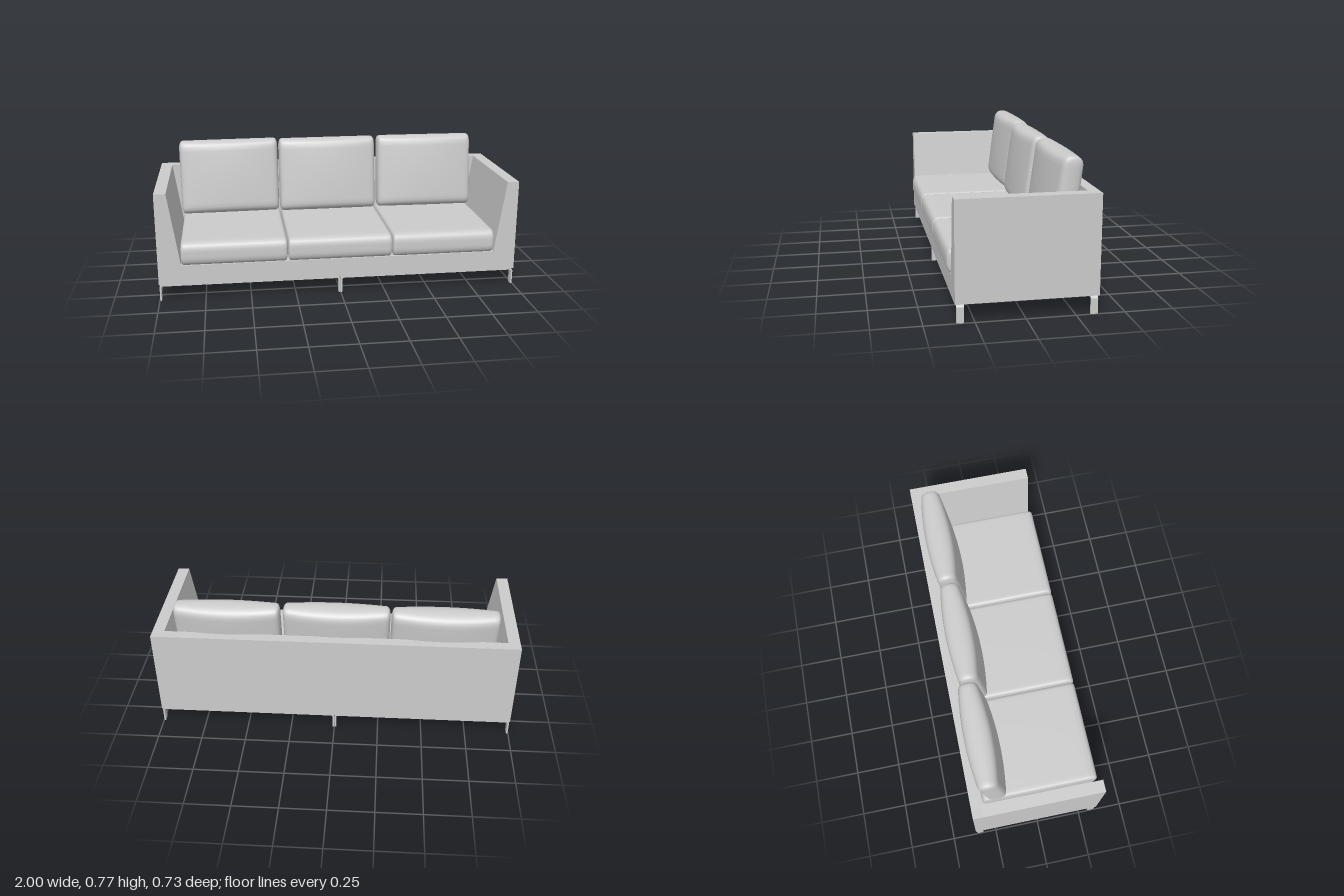
import * as THREE from 'three';
import { mergeVertices } from 'three/addons/utils/BufferGeometryUtils.js';

const material = new THREE.MeshStandardMaterial({ color: 0xcccccc, roughness: 0.8 });

function add(parent, name, geometry, x = 0, y = 0, z = 0) {
  const mesh = new THREE.Mesh(geometry, material);
  mesh.name = name;
  mesh.position.set(x, y, z);
  parent.add(mesh);
  return mesh;
}

// Soft box: size w,h,d, elliptical edge radii, and a pillow bulge on the z faces
function cushionGeometry(size, radii, bulge = 0) {
  let geo = new THREE.BoxGeometry(2, 2, 2, 24, 20, 16);
  geo.deleteAttribute('uv');
  geo.deleteAttribute('normal');
  geo = mergeVertices(geo, 1e-4);
  const pos = geo.attributes.position;
  for (let i = 0; i < pos.count; i++) {
    // pack the grid lines towards the edges
    const t = [pos.getX(i), pos.getY(i), pos.getZ(i)].map((u) => Math.sin((u * Math.PI) / 2));
    const core = [], off = [];
    for (let k = 0; k < 3; k++) {
      const half = size[k] / 2;
      const p = t[k] * half;
      core[k] = THREE.MathUtils.clamp(p, radii[k] - half, half - radii[k]);
      off[k] = (p - core[k]) / radii[k];
    }
    const len = Math.hypot(...off) || 1;
    const p = core.map((c, k) => c + (radii[k] * off[k]) / len);
    const nz = p[2] / (size[2] / 2);
    p[2] += nz * bulge * (1 - t[0] ** 2) * (1 - 0.25 * t[1] ** 2);
    pos.setXYZ(i, ...p);
  }
  geo.computeVertexNormals();
  return geo;
}

// Inverted U of flat bar with rounded bends, spanning x0..x1
function barFrameGeometry(x0, x1, top, thick, width) {
  const r = 0.018;
  const q = r - thick;
  const s = new THREE.Shape();
  s.moveTo(x0, 0);
  s.lineTo(x0, top - r);
  s.absarc(x0 + r, top - r, r, Math.PI, Math.PI / 2, true);
  s.lineTo(x1 - r, top);
  s.absarc(x1 - r, top - r, r, Math.PI / 2, 0, true);
  s.lineTo(x1, 0);
  s.lineTo(x1 - thick, 0);
  s.lineTo(x1 - thick, top - r);
  s.absarc(x1 - r, top - r, q, 0, Math.PI / 2, false);
  s.lineTo(x0 + r, top - thick);
  s.absarc(x0 + r, top - r, q, Math.PI / 2, Math.PI, false);
  s.lineTo(x0 + thick, 0);
  s.closePath();
  return new THREE.ExtrudeGeometry(s, { depth: width, bevelEnabled: false, curveSegments: 6 });
}

export function createModel() {
  const sofa = new THREE.Group();
  sofa.name = 'sofa';

  // Base and arms: one U section with sloping inner arm faces
  const section = new THREE.Shape([
    [-1, 0.095], [1, 0.095], [1, 0.608], [0.935, 0.608],
    [0.875, 0.203], [-0.875, 0.203], [-0.935, 0.608], [-1, 0.608],
  ].map(([x, y]) => new THREE.Vector2(x, y)));
  const body = new THREE.ExtrudeGeometry(section, { depth: 0.657, bevelEnabled: false });
  add(sofa, 'baseAndArms', body, 0, 0, -0.31);
  add(sofa, 'backPanel', new THREE.BoxGeometry(2, 0.513, 0.057), 0, 0.3515, -0.3385);

  // Bent bar legs: two frames along the front, two along the back
  for (const [side, z] of [['front', 0.303], ['back', -0.36]]) {
    add(sofa, side + 'LeftLegFrame', barFrameGeometry(0.002, 0.998, 0.093, 0.009, 0.037), 0, 0, z);
    add(sofa, side + 'RightLegFrame', barFrameGeometry(-0.998, -0.002, 0.093, 0.009, 0.037), 0, 0, z);
  }

  // Seat cushions
  const seat = cushionGeometry([0.582, 0.131, 0.665], [0.014, 0.05, 0.035]);
  [-0.585, -0.002, 0.581].forEach((x, i) => add(sofa, 'seatCushion' + (i + 1), seat, x, 0.268, 0.034));

  // Back cushions, leaning back and set slightly unevenly
  const back = cushionGeometry([0.582, 0.437, 0.1], [0.02, 0.045, 0.046], 0.03);
  const places = [[-0.594, -0.237, 0.008], [-0.007, -0.228, 0.003], [0.589, -0.234, -0.003]];
  places.forEach(([x, z, roll], i) => {
    const cushion = add(sofa, 'backCushion' + (i + 1), back, x, 0.549, z);
    cushion.rotation.set(-0.13, 0, roll);
  });

  return sofa;
}
